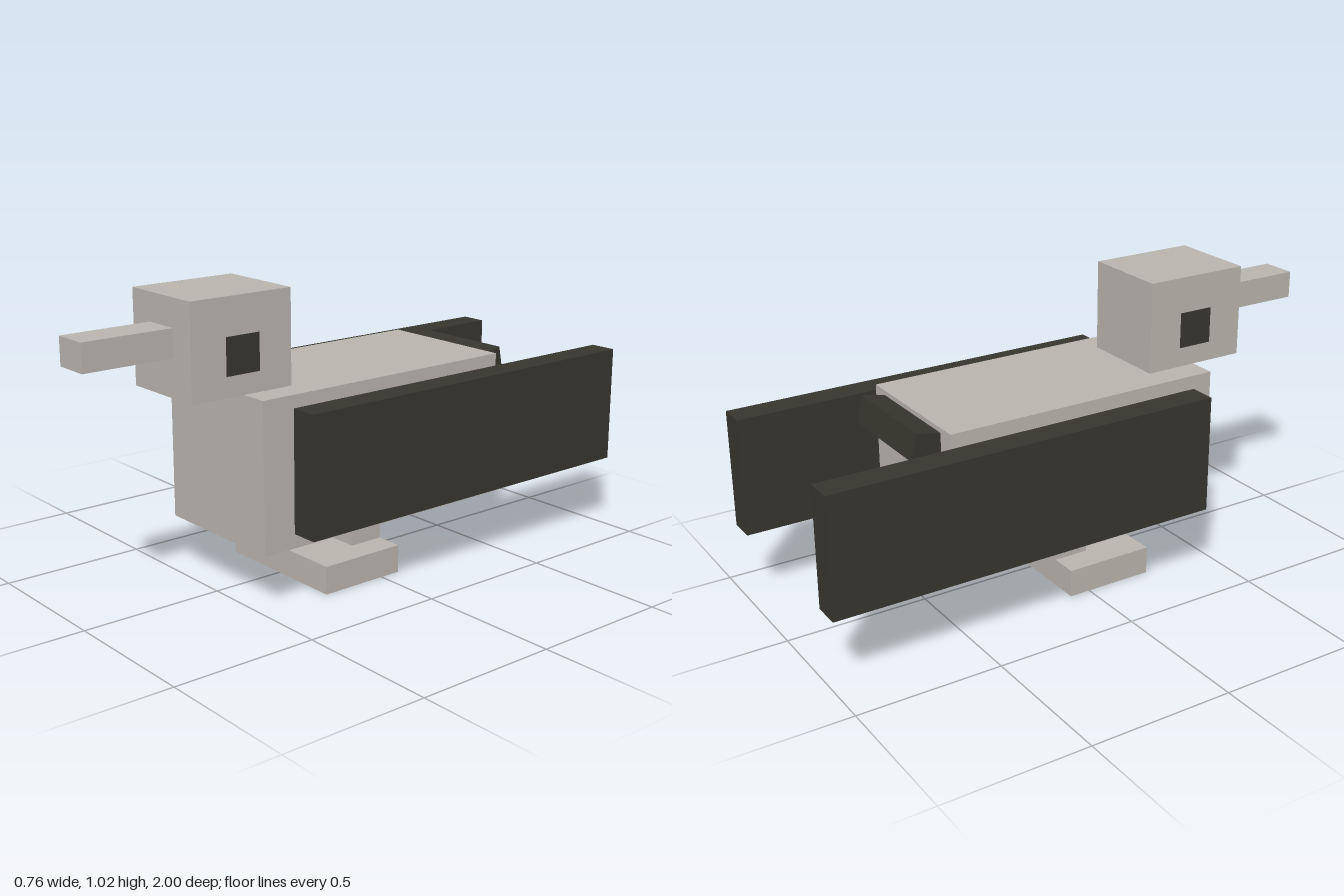
import * as THREE from 'three';

export function createModel() {
  const group = new THREE.Group();
  const plumage = new THREE.MeshStandardMaterial({ color: 0xb9b3ac });
  plumage.name = 'pale grey';
  const dark = new THREE.MeshStandardMaterial({ color: 0x36352d });
  dark.name = 'dark olive';

  // Box given by its extents on each axis
  function box(name, material, [x0, x1], [y0, y1], [z0, z1]) {
    const mesh = new THREE.Mesh(new THREE.BoxGeometry(x1 - x0, y1 - y0, z1 - z0), material);
    mesh.position.set((x0 + x1) / 2, (y0 + y1) / 2, (z0 + z1) / 2);
    mesh.name = name;
    group.add(mesh);
    return mesh;
  }

  // Central parts
  box('body', plumage, [-0.254, 0.254], [0.193, 0.7], [-0.522, 0.49]);
  box('head', plumage, [-0.158, 0.158], [0.7, 1.017], [0.305, 0.684]);
  box('beak', plumage, [-0.063, 0.063], [0.828, 0.922], [0.684, 1]);
  box('feet', plumage, [-0.254, 0.254], [0, 0.097], [-0.075, 0.241]);

  // Mirrored parts
  for (const [side, s] of [['left', 1], ['right', -1]]) {
    const span = (a, b) => (s > 0 ? [a, b] : [-b, -a]);
    box(side + 'Wing', dark, span(0.285, 0.38), [0.256, 0.667], [-1, 0.395]);
    box(side + 'Leg', plumage, span(0.063, 0.158), [0.097, 0.193], [-0.075, 0.05]);
    box(side + 'Eye', dark, span(0.156, 0.1605), [0.768, 0.892], [0.43, 0.555]);
  }

  // Tail slab, tipped up towards the rear and sunk into the body
  const tail = box('tail', dark, [-0.19, 0.19], [-0.0475, 0.0475], [-0.075, 0.075]);
  tail.rotation.x = 0.2;
  tail.position.set(0, 0.639, -0.541);

  return group;
}
